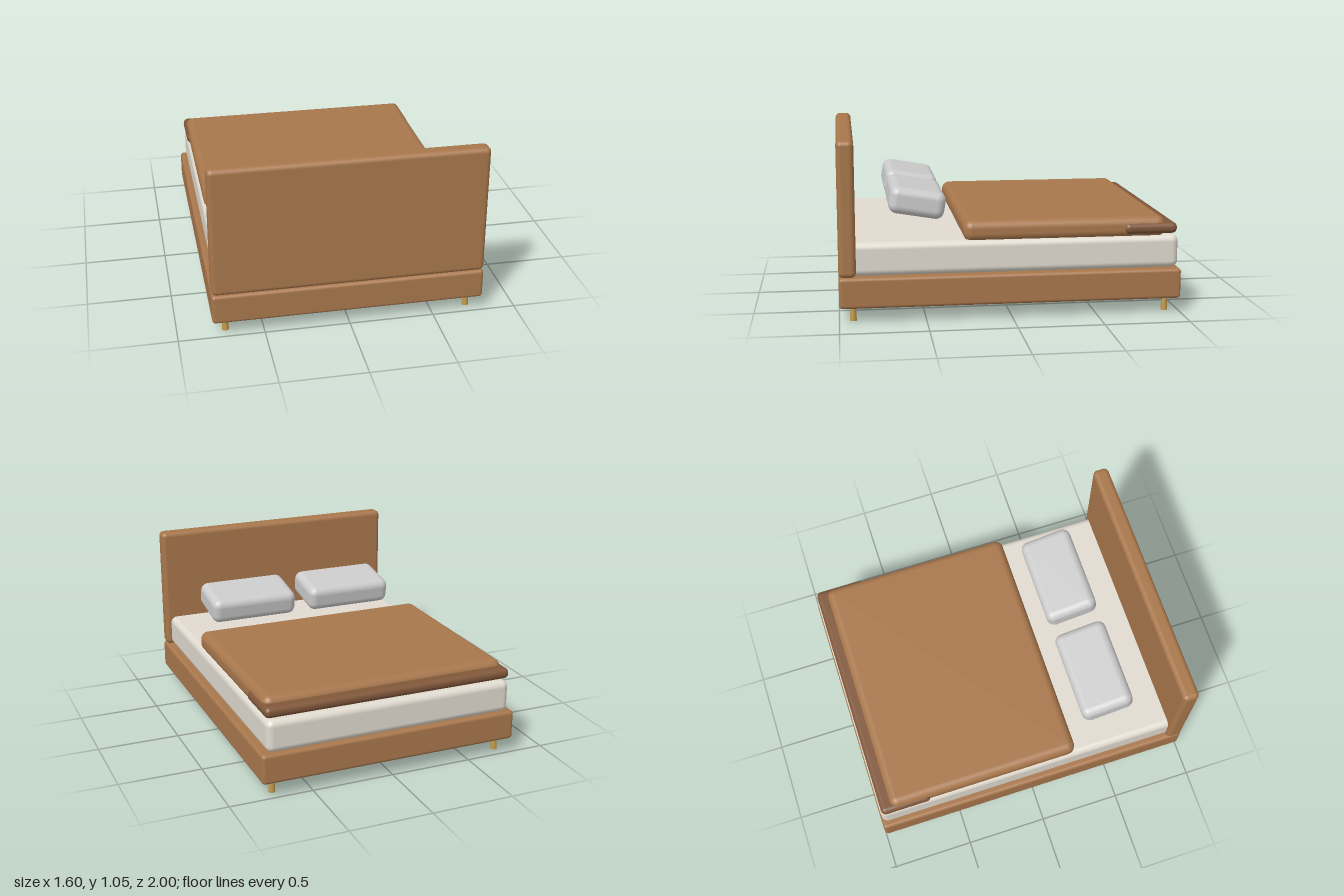
import * as THREE from 'three';
import { RoundedBoxGeometry } from 'three/addons/geometries/RoundedBoxGeometry.js';

const paint = (color) => new THREE.MeshStandardMaterial({ color });

export function createModel() {
  const bed = new THREE.Group();
  bed.name = 'bed';
  const wood = paint(0xa8774c);
  const darkCloth = paint(0x80573a);
  const linen = paint(0xe0dacf);
  const grey = paint(0xcccccc);
  const brass = paint(0xc09a48);

  // Rounded slab given by its extents along each axis
  function slab(name, material, [x0, x1], [y0, y1], [z0, z1], radius) {
    const geometry = new RoundedBoxGeometry(x1 - x0, y1 - y0, z1 - z0, 5, radius);
    const mesh = new THREE.Mesh(geometry, material);
    mesh.name = name;
    mesh.position.set((x0 + x1) / 2, (y0 + y1) / 2, (z0 + z1) / 2);
    bed.add(mesh);
    return mesh;
  }

  // Frame and headboard
  slab('baseFrame', wood, [-0.8, 0.8], [0.085, 0.265], [-1, 1], 0.02);
  slab('headboard', wood, [-0.8, 0.8], [0.265, 1.05], [0.9, 1], 0.03);

  // Bedding
  slab('mattress', linen, [-0.765, 0.765], [0.265, 0.46], [-0.99, 0.94], 0.04);
  slab('duvet', wood, [-0.755, 0.755], [0.445, 0.57], [-0.915, 0.28], 0.05);
  slab('footThrow', darkCloth, [-0.77, 0.77], [0.47, 0.535], [-0.98, -0.665], 0.03);

  // Pillows, tilted up towards the headboard
  for (const side of [-1, 1]) {
    const pillow = slab(side > 0 ? 'leftPillow' : 'rightPillow', grey,
      [-0.285, 0.285], [-0.08, 0.08], [-0.165, 0.165], 0.05);
    pillow.position.set(side * 0.335, 0.655, 0.535);
    pillow.rotation.x = -0.17;
  }

  // Tapered legs at the corners
  const legGeometry = new THREE.CylinderGeometry(0.015, 0.02, 0.09, 20);
  for (const x of [-0.72, 0.72]) {
    for (const z of [-0.92, 0.92]) {
      const leg = new THREE.Mesh(legGeometry, brass);
      leg.name = (z > 0 ? 'front' : 'back') + (x > 0 ? 'Left' : 'Right') + 'Leg';
      leg.position.set(x, 0.045, z);
      bed.add(leg);
    }
  }
  return bed;
}
